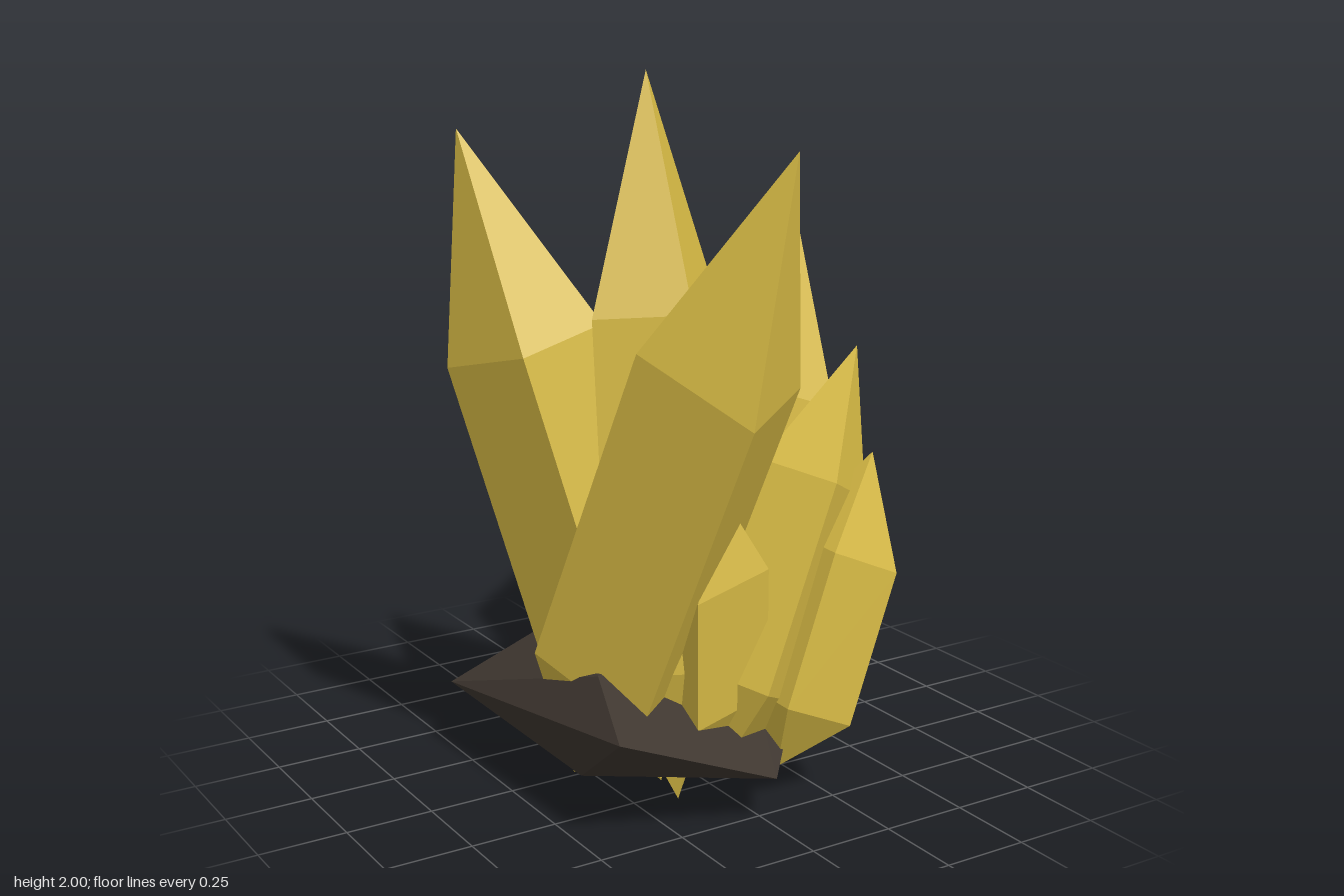
import * as THREE from 'three';
import { ConvexGeometry } from 'three/addons/geometries/ConvexGeometry.js';

const V = (p) => new THREE.Vector3(...p);

// Four-sided crystal: two pointed ends and a straight shaft between two rings.
// a and b are the half diagonals of the ring.
function crystalGeometry(bottom, tip, a, b) {
  const p0 = V(bottom), p1 = V(tip), da = V(a), db = V(b);
  const axis = p1.clone().sub(p0);
  if (da.clone().cross(db).dot(axis) < 0) db.negate();
  const ring = (t) => [[da, 1], [db, 1], [da, -1], [db, -1]].map(
    ([d, s]) => p0.clone().addScaledVector(axis, t).addScaledVector(d, s));
  const low = ring(0.2), high = ring(0.684), pts = [];
  for (let i = 0; i < 4; i++) {
    const j = (i + 1) % 4;
    pts.push(p0, low[j], low[i]);
    pts.push(low[i], low[j], high[j], low[i], high[j], high[i]);
    pts.push(high[i], high[j], p1);
  }
  const geometry = new THREE.BufferGeometry().setFromPoints(pts);
  geometry.computeVertexNormals();
  return geometry;
}

export function createModel() {
  const group = new THREE.Group();
  group.name = 'crystalCluster';
  const gold = new THREE.MeshStandardMaterial({ color: 0xd8bb45, flatShading: true });
  gold.name = 'goldCrystal';
  const stone = new THREE.MeshStandardMaterial({ color: 0x3f3730, flatShading: true });
  stone.name = 'darkStone';

  // Faceted base rock
  const rock = new THREE.Mesh(new ConvexGeometry([
    [-0.51, 0.21, -0.36], [-0.06, 0.13, -0.42], [0.57, 0.275, -0.06],
    [0, 0.14, 0.58], [-0.46, 0.32, 0.53], [-0.39, 0.42, 0.3],
    [0.34, 0.43, -0.17], [-0.15, 0.41, -0.25], [-0.36, 0.07, 0.15],
    [0.02, 0.095, -0.34], [0.13, 0.13, 0.2],
  ].map(V)), stone);
  rock.name = 'baseRock';
  group.add(rock);

  // Crystals: name, bottom point, tip, ring half diagonals
  const crystals = [
    ['tallCrystal', [-0.13, 0, 0.29], [-0.14, 2, 0.14], [-0.21, 0, 0.02], [0.015, 0.012, 0.16]],
    ['frontCrystal', [-0.3, 0.01, 0], [-0.04, 1.83, 0.69], [-0.07, -0.1, 0.26], [-0.22, 0.06, -0.05]],
    ['rightSideCrystal', [-0.13, 0.02, 0.2], [-0.575, 1.85, -0.1], [-0.167, -0.065, -0.13], [-0.08, 0, 0.145]],
    ['leftSideCrystal', [-0.08, 0.02, 0.1], [0.45, 1.575, 0], [0.175, -0.055, 0.16], [0.12, -0.05, -0.12]],
    ['backCrystal', [0.145, 0.14, -0.24], [0.45, 1.2, -0.72], [0.075, -0.105, -0.183], [0.245, -0.02, 0.105]],
    ['middleCrystal', [-0.05, 0.1, 0.38], [0.44, 1.235, 0.315], [-0.05, 0.035, 0.17], [-0.15, 0.07, -0.04]],
    ['shortCrystal', [0.1, 0.1, 0.44], [0.41, 0.96, 0.435], [0.105, -0.05, 0.11], [-0.1, 0.04, 0.1]],
    ['stubCrystal', [-0.04, 0.15, 0.36], [-0.09, 0.92, 0.43], [-0.115, -0.04, 0.07], [0.11, 0.02, 0.07]],
    ['innerCrystal', [-0.12, 0.05, 0.08], [-0.1, 1.05, 0.04], [-0.1, 0, 0.02], [0.02, 0, 0.1]],
    ['smallBackCrystal', [-0.1, 0.06, 0], [-0.14, 0.66, -0.07], [0.08, 0.01, 0.01], [0.01, -0.02, -0.08]],
  ];
  for (const [name, ...shape] of crystals) {
    const mesh = new THREE.Mesh(crystalGeometry(...shape), gold);
    mesh.name = name;
    group.add(mesh);
  }
  return group;
}
